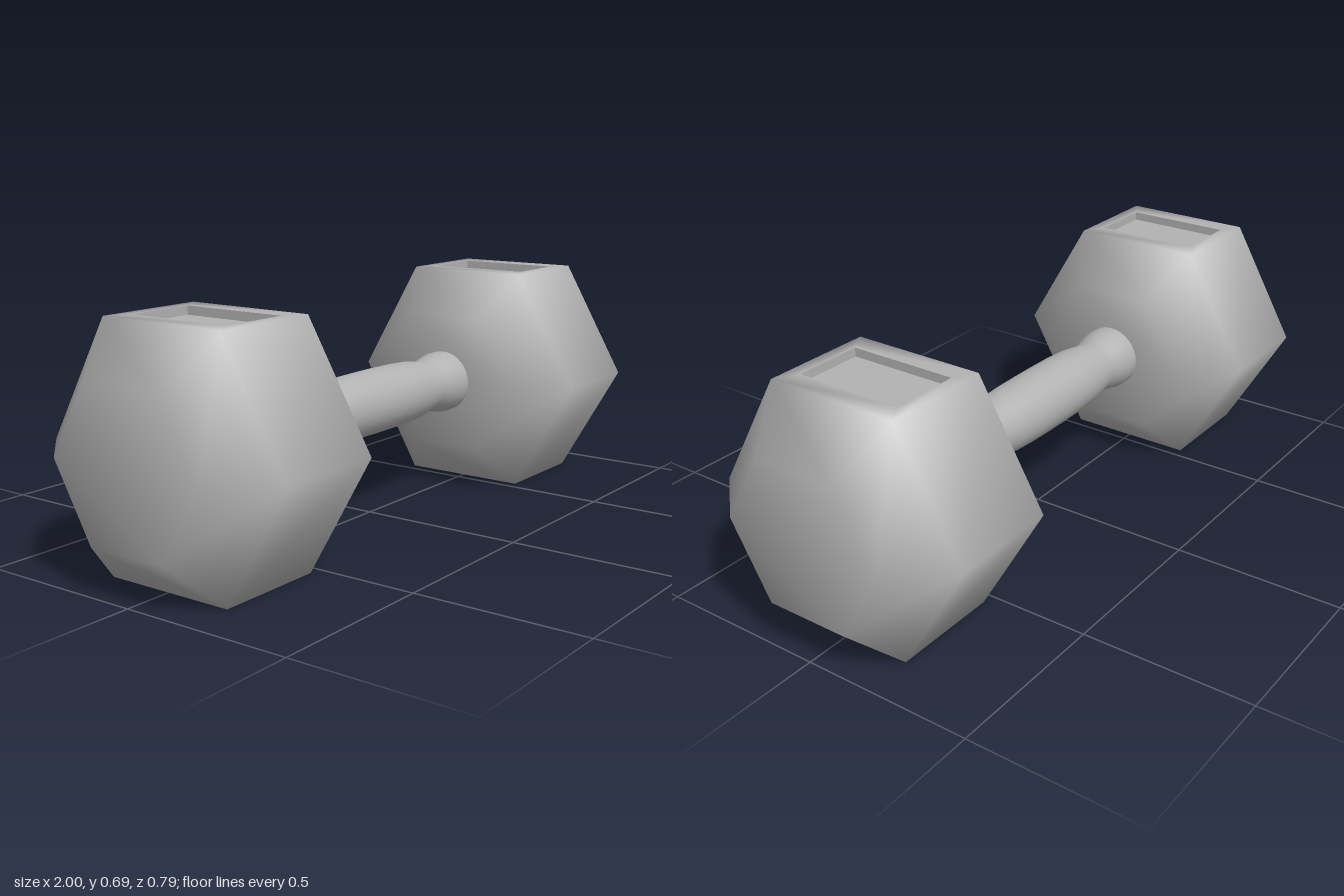
import * as THREE from 'three';

const CY = 0.344; // height of the bar axis
const gray = new THREE.MeshStandardMaterial({ color: 0xb2b2b2 });
gray.name = 'cast gray';

// Recess in the top facet
const REC = { x0: 0.597, x1: 0.797, z: 0.16, depth: 0.025 };

function buildGeometry(pos, idx) {
  const g = new THREE.BufferGeometry();
  g.setAttribute('position', new THREE.Float32BufferAttribute(pos, 3));
  g.setIndex(idx);
  return g;
}

// Chamfered hexagonal head with softly shaded corners and an open window on top
function headGeometry() {
  const rings = [[0.4, 0.243], [0.535, 0.396], [0.86, 0.396], [1, 0.243]];
  const pos = [], idx = [];
  const quad = (a, b, c, d) => idx.push(a, b, c, a, c, d);
  for (const [x, r] of rings) {
    for (let k = 0; k < 6; k++) {
      const a = k * Math.PI / 3;
      pos.push(x, CY + r * Math.sin(a), r * Math.cos(a));
    }
  }
  const v = (i, k) => i * 6 + (k % 6);
  for (let i = 0; i < 3; i++) {
    for (let k = 0; k < 6; k++) {
      if (i === 1 && k === 1) continue; // top facet is framed below
      quad(v(i, k), v(i + 1, k), v(i + 1, k + 1), v(i, k + 1));
    }
  }
  // end caps
  for (let k = 1; k < 5; k++) {
    idx.push(v(0, 0), v(0, k), v(0, k + 1));
    idx.push(v(3, 0), v(3, k + 1), v(3, k));
  }
  // top facet as a frame around the recess
  const outer = [v(1, 1), v(2, 1), v(2, 2), v(1, 2)];
  const top = CY + 0.396 * Math.sin(Math.PI / 3);
  const start = pos.length / 3;
  pos.push(REC.x0, top, REC.z, REC.x1, top, REC.z, REC.x1, top, -REC.z, REC.x0, top, -REC.z);
  for (let k = 0; k < 4; k++) {
    const n = (k + 1) % 4;
    quad(outer[k], outer[n], start + n, start + k);
  }
  const g = buildGeometry(pos, idx);
  g.computeVertexNormals();
  return g;
}

// Walls and floor of the recess, with sharp edges
function recessGeometry() {
  const top = CY + 0.396 * Math.sin(Math.PI / 3), low = top - REC.depth;
  const c = [[REC.x0, REC.z], [REC.x1, REC.z], [REC.x1, -REC.z], [REC.x0, -REC.z]];
  const pos = [], idx = [];
  for (const y of [top, low]) for (const [x, z] of c) pos.push(x, y, z);
  for (let k = 0; k < 4; k++) {
    const n = (k + 1) % 4;
    idx.push(k, n, n + 4, k, n + 4, k + 4);
  }
  idx.push(4, 5, 6, 4, 6, 7);
  const g = buildGeometry(pos, idx).toNonIndexed();
  g.computeVertexNormals();
  return g;
}

// Contoured grip turned around the bar axis
function handleGeometry() {
  const half = [[0.04, 0.096], [0.12, 0.095], [0.2, 0.091], [0.28, 0.079], [0.32, 0.087], [0.365, 0.096], [0.41, 0.095]];
  const pts = [
    ...half.slice().reverse().map(([x, r]) => new THREE.Vector2(r, -x)),
    ...half.map(([x, r]) => new THREE.Vector2(r, x)),
  ];
  return new THREE.LatheGeometry(pts, 32).rotateZ(Math.PI / 2).translate(0, CY, 0);
}

export function createModel() {
  const model = new THREE.Group();
  model.name = 'dumbbell';
  const add = (parent, name, geometry) => {
    const m = new THREE.Mesh(geometry, gray);
    m.name = name;
    parent.add(m);
  };

  const headGeo = headGeometry(), recessGeo = recessGeometry();
  for (const [name, turn] of [['leftHead', 0], ['rightHead', Math.PI]]) {
    const head = new THREE.Group();
    head.name = name;
    add(head, 'hexWeight', headGeo);
    add(head, 'topRecess', recessGeo);
    head.rotation.y = turn;
    model.add(head);
  }
  add(model, 'handle', handleGeometry());
  return model;
}
